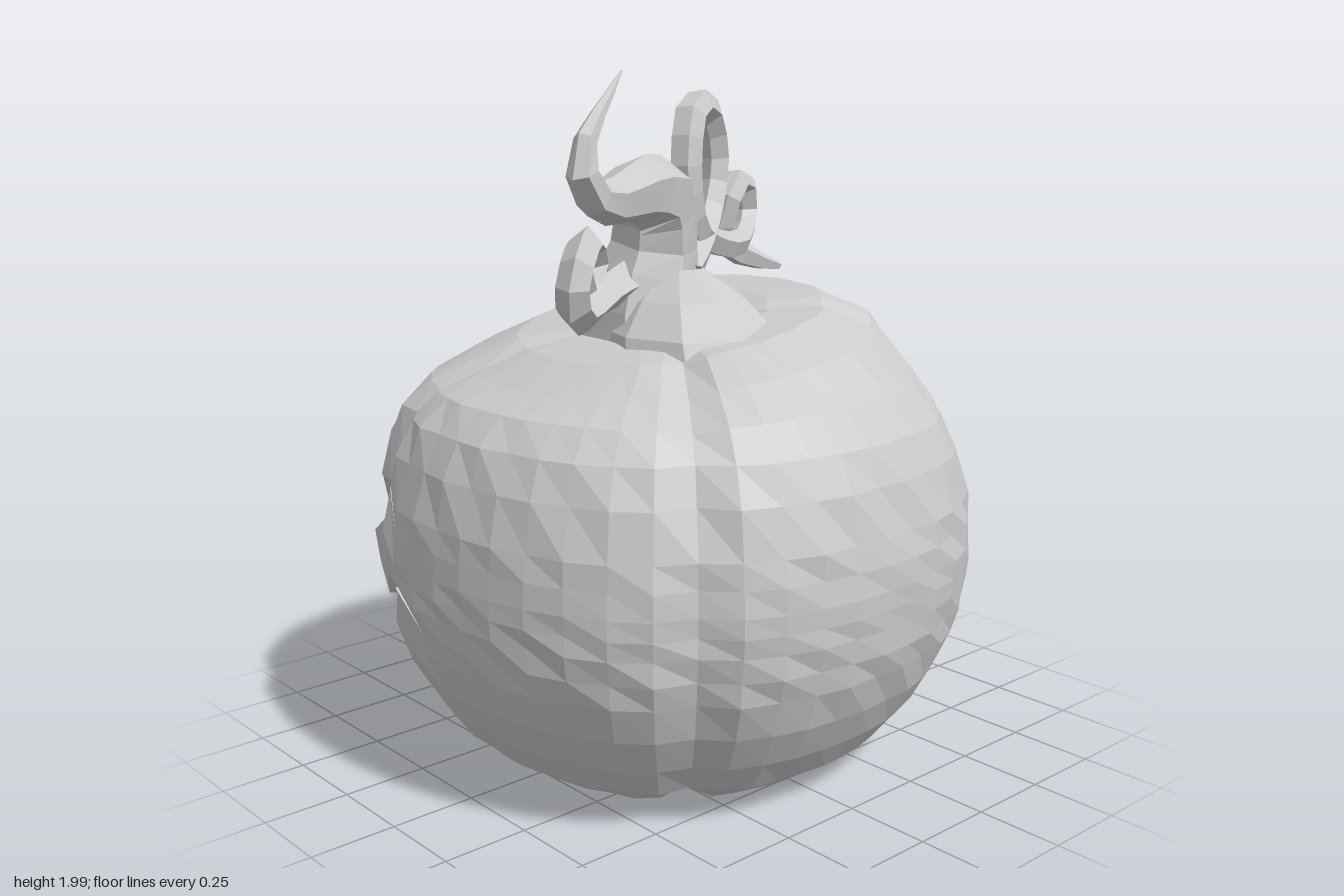
import * as THREE from 'three';

const COLS = 48, FACE = 20; // FACE = column at the middle of the carved face
const skin = new THREE.MeshStandardMaterial({ color: 0xcccccc, flatShading: true });
const thin = new THREE.MeshStandardMaterial({ color: 0xcccccc, flatShading: true, side: THREE.DoubleSide });

// Body profile [radius, y]: underside, flank, crown
const under = [[0, 0.06], [0.2, 0.045], [0.38, 0.01], [0.53, 0.03], [0.64, 0.1]];
const flank = [[0.72, 0.2], [0.78, 0.3], [0.822, 0.4], [0.852, 0.52], [0.864, 0.65], [0.852, 0.8], [0.815, 0.94]];
const crown = [[0.77, 1.04], [0.695, 1.13], [0.585, 1.23], [0.44, 1.295], [0.28, 1.3], [0.12, 1.27], [0, 1.25]];

// Carved openings [lower y, upper y] by column distance from the face centre
const mouth = [[0.25, 0.5], [0.38, 0.55], [0.24, 0.53], [0.31, 0.46], [0.35, 0.57], [0.45, 0.6], [0.59, 0.59]];
const eye = [null, [0.64, 0.64], [0.63, 0.8], [0.66, 0.83], [0.74, 0.84], [0.85, 0.85]];

// Grooves between the lobes [column, depth]
const grooves = [[5, 0.04], [16, 0.035], [25, 0.02], [30, 0.025], [42, 0.035]];

function flankRadius(y) {
  for (let i = 1; i < flank.length; i++) {
    const [r0, y0] = flank[i - 1], [r1, y1] = flank[i];
    if (y <= y1) return r0 + (r1 - r0) * (y - y0) / (y1 - y0);
  }
  return flank.at(-1)[0];
}

// Rows of one column; the opening edges always fall on the same row numbers
const MOUTH_ROW = under.length + 2, EYE_ROW = MOUTH_ROW + 4;
function columnProfile(c) {
  const d = Math.abs(c - FACE);
  const [mb, mt] = mouth[d] ?? [0.42, 0.56];
  const [eb, et] = eye[d] ?? [0.67, 0.81];
  const ys = [0.2, (0.2 + mb) / 2, mb, (mb + mt) / 2, mt, (mt + eb) / 2, eb, (eb + et) / 2, et, 0.94];
  return [...under, ...ys.map(y => [flankRadius(y), y]), ...crown];
}

function bodyPoint(c, row, depth = 0) {
  const col = c % COLS;
  let [r, y] = columnProfile(col)[row];
  const a = col / COLS * Math.PI * 2;
  let dip = 0;
  for (const [g, k] of grooves) {
    const d = Math.abs(col - g);
    dip += k * Math.exp(-(Math.min(d, COLS - d) ** 2) / 0.5);
  }
  const fade = Math.min(1, r * 2);
  const bump = 0.004 * Math.sin(col * 2.3 + row * 1.7) + 0.003 * Math.sin(col * 4.1 - row * 2.9);
  // slightly squared outline: fuller on the diagonals
  r *= 1 + 0.04 * Math.sin(2 * a) ** 2;
  r += (bump - dip - depth) * fade;
  if (y > 1.1) y -= dip * 0.8 * fade;
  if (y < 0.1) y += dip * 0.6 * fade;
  const z = r * Math.sin(a) * 0.985;
  // crown leans down toward the front
  y -= 0.17 * z * THREE.MathUtils.smoothstep(y, 1.08, 1.3);
  return new THREE.Vector3(r * Math.cos(a), y, z);
}

function geometryFromQuads(quads) {
  const pts = [];
  const triangle = new THREE.Triangle();
  for (const [a, b, c, d] of quads) {
    for (const t of [[a, b, c], [a, c, d]]) {
      if (triangle.set(...t).getArea() > 1e-7) pts.push(...t);
    }
  }
  const g = new THREE.BufferGeometry().setFromPoints(pts);
  g.computeVertexNormals();
  return g;
}

function makeBody(group) {
  const shell = [], recess = [];
  const rows = columnProfile(0).length;
  const D = 0.14;
  for (let c = 0; c < COLS; c++) {
    const d0 = Math.abs(c - FACE), d1 = Math.abs(c + 1 - FACE);
    for (let i = 0; i < rows - 1; i++) {
      const [first, list] = i >= EYE_ROW ? [EYE_ROW, eye] : [MOUTH_ROW, mouth];
      const cut = i >= first && i < first + 2 && list[d0] && list[d1];
      const p = (dc, di, depth) => bodyPoint(c + dc, i + di, depth);
      const depth = cut ? D : 0;
      (cut ? recess : shell).push([p(0, 0, depth), p(0, 1, depth), p(1, 1, depth), p(1, 0, depth)]);
      // cut edges of the rind
      if (cut && i === first) recess.push([p(0, 0, D), p(1, 0, D), p(1, 0), p(0, 0)]);
      if (cut && i === first + 1) recess.push([p(0, 1), p(1, 1), p(1, 1, D), p(0, 1, D)]);
    }
  }
  add(group, 'pumpkinBody', geometryFromQuads(shell), skin);
  add(group, 'carvedEyesAndMouth', geometryFromQuads(recess), thin);
}

function add(group, name, geometry, material) {
  const mesh = new THREE.Mesh(geometry, material);
  mesh.name = name;
  group.add(mesh);
}

// Tube whose radius follows the fourth value of each path point
function taperedTube(path, sides, segments) {
  const curve = new THREE.CatmullRomCurve3(path.map(p => new THREE.Vector3(p[0], p[1], p[2])), false, 'centripetal');
  const g = new THREE.TubeGeometry(curve, segments, 1, sides);
  const pos = g.attributes.position, v = new THREE.Vector3();
  for (let i = 0; i <= segments; i++) {
    const s = curve.getUtoTmapping(i / segments) * (path.length - 1);
    const k = Math.min(path.length - 2, Math.floor(s));
    const radius = THREE.MathUtils.lerp(path[k][3], path[k + 1][3], s - k);
    const centre = curve.getPointAt(i / segments);
    for (let j = 0; j <= sides; j++) {
      const n = i * (sides + 1) + j;
      v.fromBufferAttribute(pos, n).sub(centre).multiplyScalar(radius).add(centre);
      pos.setXYZ(n, v.x, v.y, v.z);
    }
  }
  g.computeVertexNormals();
  return g;
}

export function createModel() {
  const model = new THREE.Group();
  model.name = 'carvedPumpkin';
  makeBody(model);

  // Thick bent stem with a pointed hook
  add(model, 'stem', taperedTube([
    [-0.01, 1.16, 0.08, 0.22], [-0.01, 1.36, 0.09, 0.165], [0.01, 1.54, 0.07, 0.12], [0.05, 1.66, 0.12, 0.12],
    [0.13, 1.68, 0.24, 0.09], [0.27, 1.68, 0.5, 0.05], [0.29, 1.78, 0.56, 0.04], [0.2, 2.0, 0.35, 0.003],
  ], 6, 16), thin);

  // Lopsided rounded flare where the stem spreads over the crown
  const flare = new THREE.LatheGeometry(
    [[0.3, 0], [0.28, 0.08], [0.19, 0.17], [0.07, 0.25]].map(p => new THREE.Vector2(...p)), 9);
  const pos = flare.attributes.position;
  for (let i = 0; i < pos.count; i++) {
    const y = pos.getY(i);
    pos.setXYZ(i, pos.getX(i) * 0.95 + 0.15 - y * 0.25, y + 1.2, pos.getZ(i) * 0.87 + 0.04);
  }
  flare.computeVertexNormals();
  add(model, 'stemFlare', flare, thin);

  // Curled tendril at the front
  add(model, 'frontTendril', taperedTube([
    [0, 1.42, 0.15, 0.065], [0.07, 1.4, 0.3, 0.055], [0.19, 1.37, 0.5, 0.05], [0.235, 1.45, 0.55, 0.045],
    [0.21, 1.54, 0.5, 0.045], [0.13, 1.55, 0.41, 0.045], [0.09, 1.48, 0.36, 0.04],
    [0.13, 1.42, 0.42, 0.035], [0.17, 1.48, 0.46, 0.025],
  ], 4, 16), thin);

  // Looping tendril at the back
  add(model, 'backTendril', taperedTube([
    [-0.06, 1.36, -0.06, 0.055], [-0.12, 1.44, -0.2, 0.05], [-0.2, 1.55, -0.33, 0.05], [-0.23, 1.72, -0.39, 0.05],
    [-0.2, 1.87, -0.33, 0.05], [-0.15, 1.89, -0.22, 0.05], [-0.11, 1.74, -0.155, 0.05],
    [-0.13, 1.54, -0.2, 0.05], [-0.2, 1.47, -0.35, 0.045], [-0.26, 1.45, -0.52, 0.045],
    [-0.32, 1.53, -0.61, 0.045], [-0.3, 1.64, -0.58, 0.045], [-0.27, 1.64, -0.51, 0.045],
    [-0.26, 1.56, -0.46, 0.045], [-0.3, 1.46, -0.48, 0.042], [-0.27, 1.4, -0.57, 0.042], [-0.25, 1.36, -0.7, 0.015],
  ], 5, 30), thin);

  return model;
}
